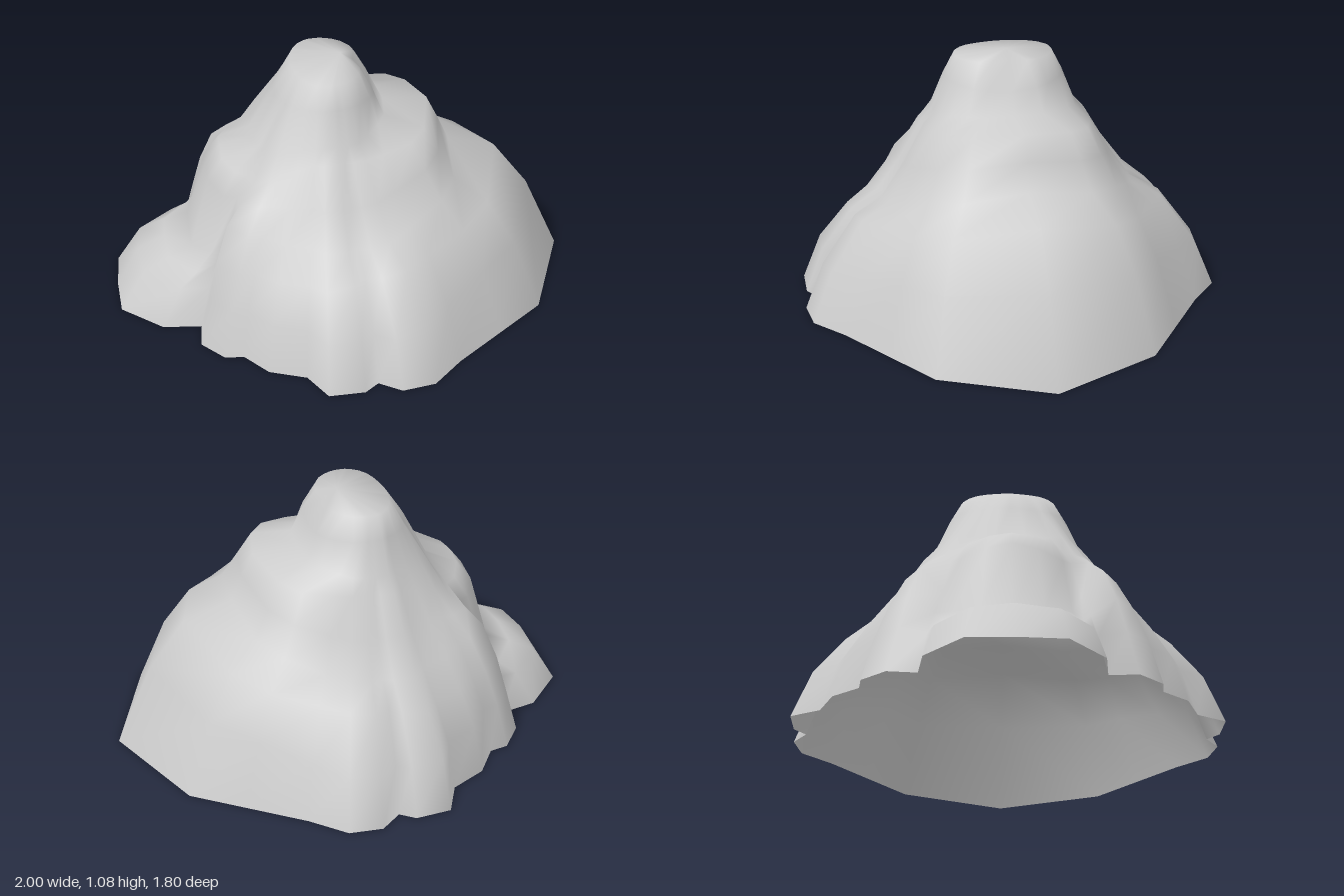
import * as THREE from 'three';

const { lerp, clamp, radToDeg } = THREE.MathUtils;
const CENTRE = -0.08; // x of the axis the slopes radiate from

// Slopes from foot to upper ledge (radius, height), by bearing in degrees from +x
const SLOPES = [
  { deg: 0, p: [1.08, 0, 0.92, 0.35, 0.76, 0.56, 0.55, 0.62, 0.5, 0.73, 0.45, 0.83, 0.26, 0.84] },
  { deg: 42, p: [0.9, 0, 0.8, 0.28, 0.7, 0.45, 0.59, 0.56, 0.51, 0.68, 0.44, 0.79, 0.28, 0.83] },
  { deg: 72, p: [0.9, 0, 0.82, 0.2, 0.67, 0.41, 0.55, 0.46, 0.45, 0.6, 0.36, 0.76, 0.31, 0.81] },
  { deg: 105, p: [0.84, 0, 0.77, 0.2, 0.66, 0.34, 0.55, 0.46, 0.45, 0.6, 0.36, 0.75, 0.31, 0.81] },
  { deg: 141, p: [0.76, 0, 0.7, 0.2, 0.65, 0.36, 0.58, 0.51, 0.5, 0.58, 0.42, 0.64, 0.34, 0.76] },
  { deg: 156, p: [0.81, 0, 0.72, 0.16, 0.64, 0.21, 0.56, 0.28, 0.49, 0.55, 0.43, 0.65, 0.31, 0.74] },
  { deg: 180, p: [0.92, 0, 0.82, 0.18, 0.7, 0.24, 0.59, 0.25, 0.5, 0.6, 0.44, 0.68, 0.3, 0.71] },
];

// Scalloped foot of the front half (x, z), from +x round to -x
const FOOT = [
  [1, 0], [0.8, 0.45], [0.59, 0.605], [0.38, 0.76], [0.25, 0.88], [0.11, 0.9], [0.02, 0.84],
  [-0.04, 0.885], [-0.19, 0.885], [-0.26, 0.76], [-0.41, 0.7], [-0.5, 0.59],
  [-0.58, 0.58], [-0.67, 0.48], [-0.66, 0.36], [-0.82, 0.34], [-0.99, 0.19], [-1, 0],
];

// Blend the slopes either side of a bearing, then add the summit rings,
// which are broad towards +x and pointed towards -x
function profileAt(angle) {
  const deg = Math.abs(radToDeg(angle));
  let i = 0;
  while (i < SLOPES.length - 2 && deg > SLOPES[i + 1].deg) i++;
  const a = SLOPES[i], b = SLOPES[i + 1];
  const t = clamp((deg - a.deg) / (b.deg - a.deg), 0, 1);
  const side = Math.abs(Math.sin(angle)) ** (Math.cos(angle) > 0 ? 1 : 3);
  return [
    ...a.p.map((v, k) => lerp(v, b.p[k], t)),
    lerp(0.205, 0.255, side), lerp(0.925, 0.95, side),
    lerp(0.13, 0.21, side), 1.04,
  ];
}

function rockGeometry() {
  const outline = [...FOOT, ...FOOT.slice(1, -1).reverse().map(([x, z]) => [x, -z])];
  const n = outline.length;
  const positions = [], index = [];

  const columns = outline.map(([x, z]) => {
    const angle = Math.atan2(z, x - CENTRE);
    const p = profileAt(angle);
    return { angle, p, scallop: Math.hypot(x - CENTRE, z) / p[0] };
  });
  const rings = columns[0].p.length / 2;

  // Stacked rings; the scallops of the foot fade out towards the summit
  for (let k = 0; k < rings; k++) {
    for (const { angle, p, scallop } of columns) {
      const r = p[2 * k] * lerp(scallop, 1, k / (rings - 1));
      positions.push(CENTRE + r * Math.cos(angle), p[2 * k + 1], r * Math.sin(angle));
    }
  }
  for (let k = 0; k < rings - 1; k++) {
    for (let i = 0; i < n; i++) {
      const a = k * n + i, b = k * n + ((i + 1) % n);
      index.push(a, a + n, b, b, a + n, b + n);
    }
  }

  // Summit cap
  const apex = rings * n;
  positions.push(0, 1.075, 0);
  for (let i = 0; i < n; i++) {
    index.push(apex - n + i, apex, apex - n + ((i + 1) % n));
  }

  const geometry = new THREE.BufferGeometry();
  geometry.setAttribute('position', new THREE.Float32BufferAttribute(positions, 3));
  geometry.setIndex(index);
  geometry.computeVertexNormals();
  return geometry;
}

export function createModel() {
  const group = new THREE.Group();
  group.name = 'rockMound';
  // Hollow shell, open underneath
  const material = new THREE.MeshStandardMaterial({ color: 0xcccccc, side: THREE.DoubleSide });
  const rock = new THREE.Mesh(rockGeometry(), material);
  rock.name = 'rockShell';
  group.add(rock);
  return group;
}
